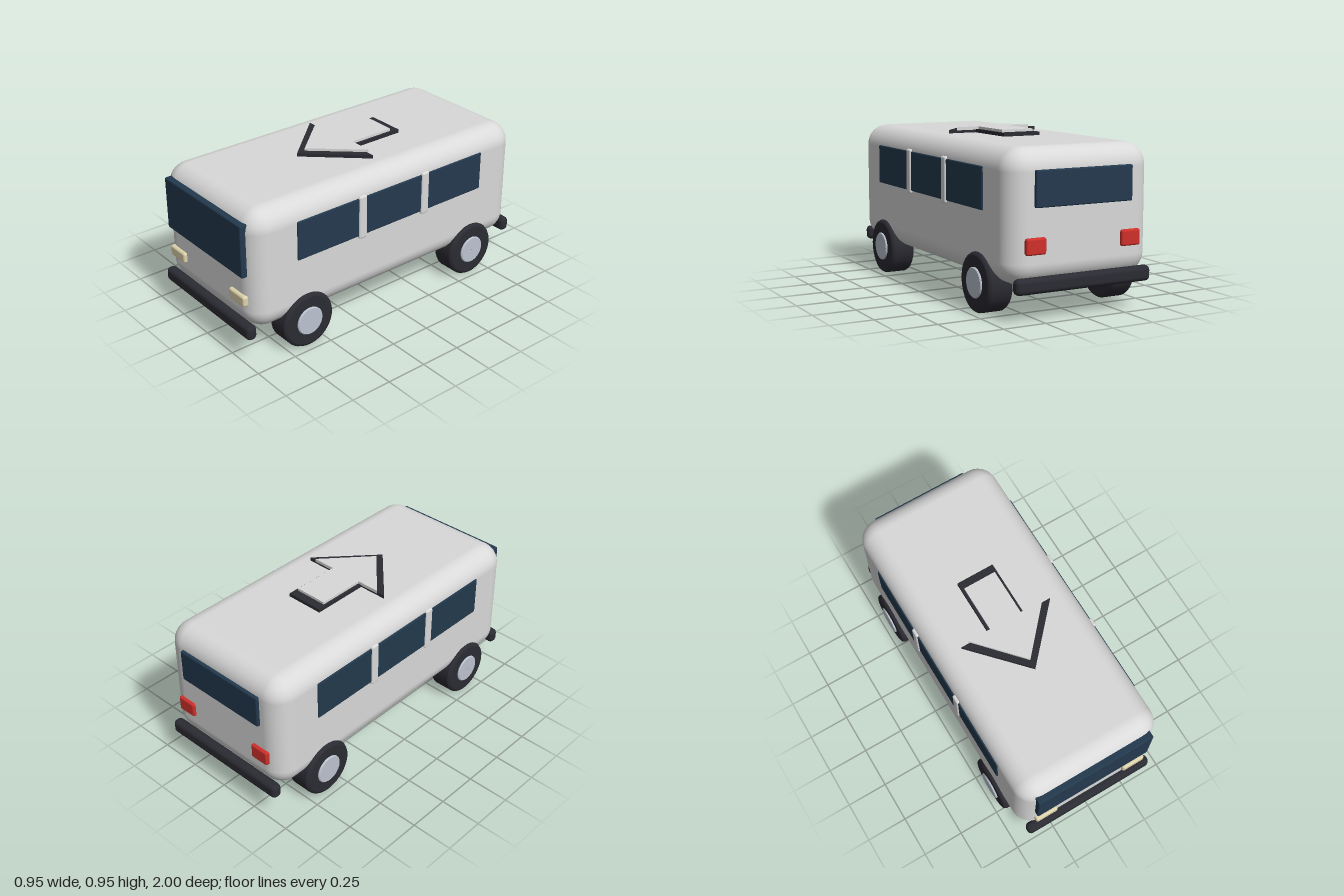
import * as THREE from 'three';
import { RoundedBoxGeometry } from 'three/addons/geometries/RoundedBoxGeometry.js';

const mat = (name, color) => {
  const m = new THREE.MeshStandardMaterial({ color });
  m.name = name;
  return m;
};

export function createModel() {
  const van = new THREE.Group();
  van.name = 'van';
  const paint = mat('body paint', 0xd9d9d9);
  const glass = mat('dark glass', 0x23394d);
  const rubber = mat('black rubber', 0x2b2b33);
  const metal = mat('hub metal', 0xbcc3d0);
  const lamp = mat('headlight cream', 0xddd3ac);
  const red = mat('tail light red', 0xd0302a);

  const add = (name, geometry, material, x = 0, y = 0, z = 0, parent = van) => {
    const mesh = new THREE.Mesh(geometry, material);
    mesh.name = name;
    mesh.position.set(x, y, z);
    parent.add(mesh);
    return mesh;
  };
  // Rounded block given by its extents along each axis
  const block = (name, material, [x0, x1], [y0, y1], [z0, z1], r, seg = 3) =>
    add(name, new RoundedBoxGeometry(x1 - x0, y1 - y0, z1 - z0, seg, r), material,
      (x0 + x1) / 2, (y0 + y1) / 2, (z0 + z1) / 2);

  // Shell, windscreen, rear window and bumpers
  block('body', paint, [-0.446, 0.446], [0.185, 0.914], [-0.966, 0.966], 0.125, 8);
  block('windscreen', glass, [-0.368, 0.368], [0.53, 0.845], [0.94, 0.99], 0.008);
  block('rearWindow', glass, [-0.3, 0.3], [0.605, 0.8], [-0.985, -0.94], 0.008);
  block('frontBumper', rubber, [-0.42, 0.42], [0.157, 0.243], [0.937, 1], 0.026);
  block('rearBumper', rubber, [-0.42, 0.42], [0.157, 0.243], [-1, -0.937], 0.026);

  // Tyre and hub profiles, revolved about the axle
  const lathe = (points) => new THREE.LatheGeometry(
    points.map(([r, h]) => new THREE.Vector2(r, h)), 40).rotateZ(-Math.PI / 2);
  const tyre = lathe([[0.001, -0.074], [0.148, -0.074], [0.148, -0.074], [0.16, -0.07],
    [0.167, -0.058], [0.167, -0.058], [0.167, 0.058], [0.167, 0.058], [0.16, 0.07],
    [0.148, 0.074], [0.148, 0.074], [0.001, 0.074]]);
  const hub = lathe([[0.001, -0.084], [0.08, -0.084], [0.08, -0.084], [0.085, -0.079],
    [0.085, -0.079], [0.085, 0.079], [0.085, 0.079], [0.08, 0.084], [0.08, 0.084], [0.001, 0.084]]);

  for (const s of [1, -1]) {
    const side = s > 0 ? 'left' : 'right';
    const span = (a, b) => (s > 0 ? [a, b] : [-b, -a]);

    // Side glass with two pillars across it
    block(side + 'SideWindow', glass, span(0.43, 0.453), [0.565, 0.8], [-0.678, 0.68], 0.007);
    for (const z of [0.232, -0.23])
      block(side + 'Pillar', paint, span(0.42, 0.461), [0.548, 0.813], [z - 0.028, z + 0.028], 0.012);

    // Lights
    block(side + 'Headlight', lamp, span(0.222, 0.368), [0.346, 0.412], [0.945, 0.987], 0.014);
    block(side + 'TailLight', red, span(0.235, 0.355), [0.36, 0.45], [-0.985, -0.945], 0.012);

    // Wheels
    for (const end of [1, -1]) {
      const wheel = new THREE.Group();
      wheel.name = side + (end > 0 ? 'FrontWheel' : 'RearWheel');
      wheel.position.set(s * 0.392, 0.168, end * 0.621);
      add('tyre', tyre, rubber, 0, 0, 0, wheel);
      add('hub', hub, metal, 0, 0, 0, wheel);
      van.add(wheel);
    }
  }

  // Arrow panel on the roof: a dark base with a lighter top, pointing forward
  const arrow = (name, material, shaft, back, neck, wing, tip, y0, y1) => {
    const shape = new THREE.Shape([[-shaft, back], [shaft, back], [shaft, neck], [wing, neck],
      [0, tip], [-wing, neck], [-shaft, neck]].map(([x, z]) => new THREE.Vector2(x, z)));
    const geometry = new THREE.ExtrudeGeometry(shape, { depth: y1 - y0, bevelEnabled: false });
    add(name, geometry.rotateX(Math.PI / 2), material, 0, y1, 0);
  };
  arrow('roofArrowBase', rubber, 0.116, -0.32, 0.025, 0.29, 0.34, 0.905, 0.934);
  arrow('roofArrowTop', paint, 0.1, -0.268, 0.018, 0.241, 0.286, 0.93, 0.949);

  return van;
}
